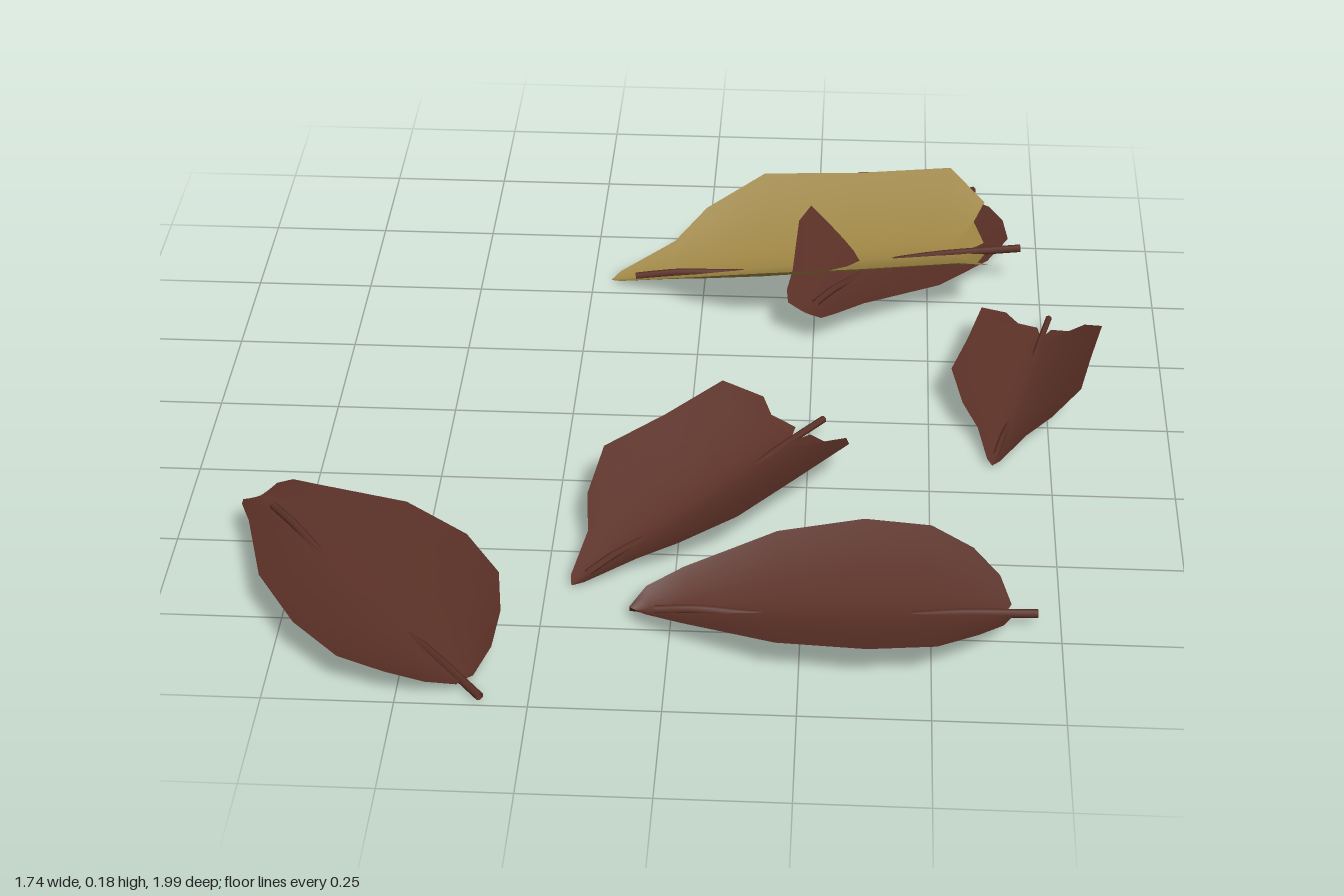
import * as THREE from 'three';

// Blade stations: [midrib distance, edge distance, half width, edge lift]
const ovate = [
  [0, 0, 0.001, 0.012], [0.04, 0.03, 0.045, 0.03], [0.12, 0.10, 0.09, 0.045], [0.28, 0.28, 0.18, 0.07],
  [0.45, 0.45, 0.21, 0.08], [0.58, 0.58, 0.195, 0.075], [0.66, 0.66, 0.14, 0.06],
  [0.70, 0.71, 0.08, 0.035], [0.715, 0.73, 0.02, 0.008],
];
const notched = [
  [0, 0, 0.001, 0], [0.02, 0.02, 0.022, 0.008], [0.14, 0.14, 0.083, 0.04], [0.21, 0.21, 0.153, 0.08],
  [0.34, 0.34, 0.223, 0.118], [0.55, 0.55, 0.215, 0.105], [0.68, 0.76, 0.213, 0.10],
  [0.73, 0.835, 0.14, 0.045], [0.75, 0.81, 0.09, 0.025], [0.77, 0.83, 0.025, 0.006],
];
const LENGTH = { ovate: 0.78, notched: 0.91 };

export function createModel() {
  const brown = new THREE.MeshStandardMaterial({ color: 0x5a3026, side: THREE.DoubleSide });
  brown.name = 'dry brown';
  const gold = new THREE.MeshStandardMaterial({ color: 0x9c8442, side: THREE.DoubleSide });
  gold.name = 'faded gold';

  const leaves = [
    { name: 'frontRightLeaf', shape: 'ovate', tip: [-0.84, 0.07, 0.43], end: [-0.34, 0.015, 0.985], blunt: 0.042, lift: 0.95, roll: 0.06 },
    { name: 'frontLeftLeaf', shape: 'ovate', tip: [-0.08, 0.02, 0.71], end: [0.705, 0.035, 0.695], blunt: 0, lift: 0.9, roll: 0 },
    { name: 'underLeaf', shape: 'ovate', tip: [0.23, 0.085, -0.31], end: [0.61, 0.02, -0.995], blunt: 0.042, lift: 0.5, roll: 0.15 },
    { name: 'centreLeaf', shape: 'notched', tip: [-0.2, 0.012, 0.62], end: [0.28, 0.045, 0.05], blunt: 0, lift: 1, roll: 0 },
    { name: 'smallLeaf', shape: 'notched', tip: [0.63, 0.015, 0.16], end: [0.765, 0.04, -0.39], blunt: 0, lift: 1, roll: 0 },
    { name: 'goldLeaf', shape: 'notched', tip: [-0.21, 0.008, -0.555], end: [0.705, 0.105, -0.58], blunt: 0, lift: 1, roll: 0, material: gold },
  ];

  const model = new THREE.Group();
  for (const leaf of leaves) {
    const tip = new THREE.Vector3(...leaf.tip), end = new THREE.Vector3(...leaf.end);
    const span = Math.hypot(end.x - tip.x, end.z - tip.z);
    const scale = span / LENGTH[leaf.shape];
    const dx = (end.x - tip.x) / span, dz = (end.z - tip.z) / span;
    // Point at distance u from the tip, v to the side, h above the midrib
    const place = (u, v, h) => new THREE.Vector3(
      tip.x + dx * u - dz * v,
      Math.max(0.004, tip.y + (end.y - tip.y) * u / span + h - leaf.roll * v),
      tip.z + dz * u + dx * v);

    // Cupped blade: one cross-section per station
    const rows = leaf.shape === 'ovate' ? ovate : notched;
    const N = 12, pos = [], index = [];
    rows.forEach(([mid, edge, width, lift], r) => {
      const w = Math.max(width, leaf.blunt * (r < 2 ? 1 + 0.5 * r : 0));
      for (let i = 0; i <= N; i++) {
        const s = i / N * 2 - 1, a = Math.abs(s);
        const u = THREE.MathUtils.lerp(mid, edge, Math.pow(a, 0.8)) * scale;
        const p = place(u, s * w * scale, lift * leaf.lift * scale * Math.pow(a, 1.4));
        pos.push(p.x, p.y, p.z);
        if (r && i < N) {
          const b = r * (N + 1) + i, c = b - N - 1;
          index.push(c, c + 1, b, c + 1, b + 1, b);
        }
      }
    });
    // Wind the triangles so the upper side is the front
    for (let i = 0; i < index.length; i += 3) [index[i + 1], index[i + 2]] = [index[i + 2], index[i + 1]];
    const geometry = new THREE.BufferGeometry();
    geometry.setAttribute('position', new THREE.Float32BufferAttribute(pos, 3));
    geometry.setIndex(index);
    geometry.computeVertexNormals();
    const blade = new THREE.Mesh(geometry, leaf.material || brown);
    blade.name = 'blade';

    // Stem: shows above the tip, dips under the blade, and sticks out at the base
    const path = [[0.06, 0.004], [0.16, 0.006], [0.3, -0.006], [0.6, -0.012], [0.8, 0], [1, 0]]
      .map(([t, h]) => place(t * span, 0, h));
    const stem = new THREE.Mesh(
      new THREE.TubeGeometry(new THREE.CatmullRomCurve3(path), 20, 0.0085 * Math.sqrt(scale), 6), brown);
    stem.name = 'stem';

    const group = new THREE.Group();
    group.name = leaf.name;
    group.add(blade, stem);
    model.add(group);
  }
  return model;
}
